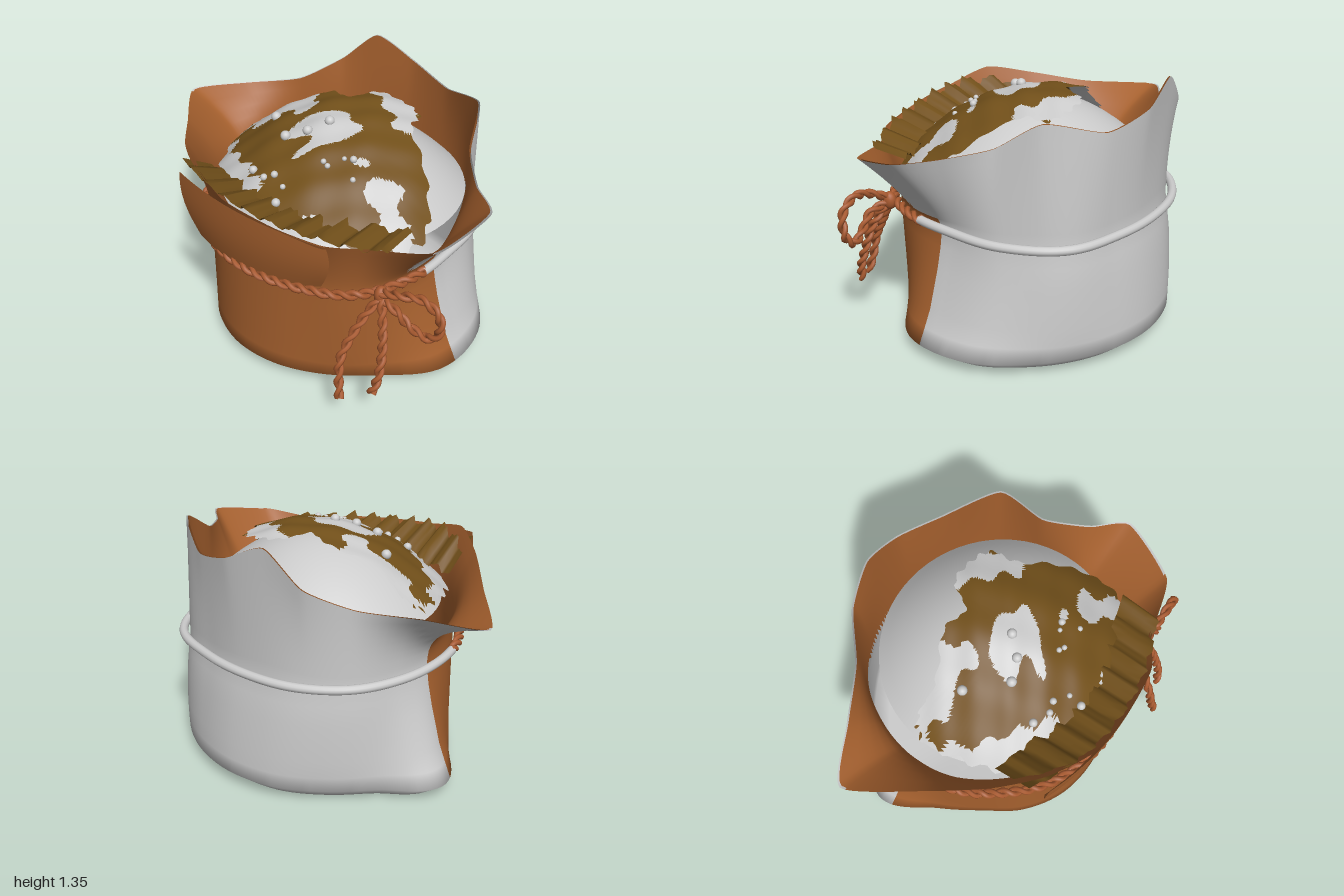
import * as THREE from 'three';
import { mergeVertices } from 'three/addons/utils/BufferGeometryUtils.js';

const GREY = 0xcccccc, CLOTH = 0xa5602e, CRUST = 0x72501a, ROPE = 0xa85a30;
const { lerp } = THREE.MathUtils;
const V = (x, y, z) => new THREE.Vector3(x, y, z);
const curve = (pts, closed = false, tension = 0.5) =>
  new THREE.CatmullRomCurve3(pts.map(p => V(...p)), closed, 'catmullrom', tension);

// Smooth surface from a rule fn(u, v) -> Vector3
function grid(nu, nv, fn) {
  const pos = [], idx = [];
  for (let j = 0; j <= nv; j++)
    for (let i = 0; i <= nu; i++) pos.push(...fn(i / nu, j / nv).toArray());
  for (let j = 0; j < nv; j++)
    for (let i = 0; i < nu; i++) {
      const a = j * (nu + 1) + i, c = a + nu + 1;
      idx.push(a, c, a + 1, a + 1, c, c + 1);
    }
  let g = new THREE.BufferGeometry();
  g.setAttribute('position', new THREE.Float32BufferAttribute(pos, 3));
  g.setIndex(idx);
  g = mergeVertices(g, 1e-5);
  g.computeVertexNormals();
  return g;
}

// Same surface, keeping only the triangles whose centre passes the test
function subset(geo, test) {
  const g = geo.clone(), p = geo.attributes.position, src = geo.index.array, out = [];
  const c = V(0, 0, 0), q = V(0, 0, 0);
  for (let i = 0; i < src.length; i += 3) {
    c.set(0, 0, 0);
    for (let k = 0; k < 3; k++) c.add(q.fromBufferAttribute(p, src[i + k]));
    c.divideScalar(3);
    if (test(c)) out.push(src[i], src[i + 1], src[i + 2]);
  }
  g.setIndex(out);
  return g;
}

function add(parent, name, geo, color, side = THREE.DoubleSide) {
  const m = new THREE.Mesh(geo, new THREE.MeshStandardMaterial({ color, side }));
  m.name = name;
  parent.add(m);
  return m;
}

// Radius by angle, from 16 evenly spaced radii going from +x round through +z
function outline(radii, offset) {
  const c = curve(radii.map((r, i) => {
    const a = i * Math.PI / 8 + offset;
    return [r * Math.cos(a), 0, r * Math.sin(a)];
  }), true);
  return a => c.getPoint(((a - offset) / (2 * Math.PI) + 2) % 1).length();
}
const base = outline([0.88, 0.74, 0.68, 0.655, 0.64, 0.62, 0.605, 0.67,
  0.835, 0.71, 0.7, 0.735, 0.77, 0.805, 0.845, 0.9], Math.PI / 16);
const waist = outline([0.71, 0.72, 0.73, 0.67, 0.637, 0.62, 0.605, 0.615,
  0.62, 0.64, 0.67, 0.675, 0.675, 0.71, 0.785, 0.76], 0);

// Two strands twisted around a path
function twisted(parent, name, path, n, turns, r) {
  const f = path.computeFrenetFrames(n);
  for (let k = 0; k < 2; k++) {
    const pts = [];
    for (let i = 0; i <= n; i++) {
      const a = (i / n) * turns * Math.PI * 2 + k * Math.PI;
      pts.push(path.getPointAt(i / n)
        .addScaledVector(f.normals[i], Math.cos(a) * r)
        .addScaledVector(f.binormals[i], Math.sin(a) * r));
    }
    add(parent, name, new THREE.TubeGeometry(new THREE.CatmullRomCurve3(pts), n * 2, r * 1.05, 7), ROPE);
  }
}

// Sack levels: height, blend from waist (0) to base (1) outline, scale
const LEVELS = [[0.005, 1, 0.001], [0.005, 1, 0.89], [0.08, 1, 1], [0.16, 0.78, 1],
  [0.25, 0.55, 1], [0.45, 0.22, 1], [0.56, 0.08, 1], [0.66, 0, 1]];
const ROWS = LEVELS.length + 7;
const RIM = curve([
  [1, 1.07, 0.1], [0.9, 1, 0.42], [0.62, 0.97, 0.54], [0.45, 0.99, 0.66], [0.2, 1.02, 0.71],
  [-0.1, 1.06, 0.71], [-0.35, 1.13, 0.62], [-0.55, 1.08, 0.45], [-0.76, 1.02, 0.2],
  [-1, 1, -0.12], [-0.75, 1.04, -0.3], [-0.5, 1.07, -0.47], [-0.32, 1.18, -0.64],
  [-0.13, 1.35, -0.69], [0.1, 1.25, -0.71], [0.35, 1.19, -0.64], [0.62, 1.27, -0.47],
  [0.7, 1.13, -0.25], [0.85, 1.08, -0.05]], true, 0.3);

function sackPoint(u, v) {
  const rim = RIM.getPoint(u % 1), a = Math.atan2(rim.z, rim.x);
  const k = Math.round(v * ROWS), last = LEVELS.length - 1;
  const [y, w, s] = LEVELS[Math.min(k, last)];
  // the back bulges a little between base and waist
  const bulge = 1 + 0.04 * Math.max(0, -Math.sin(a)) * Math.max(0, Math.sin(Math.PI * (y - 0.08) / 0.58));
  const r = lerp(waist(a), base(a), w) * s * bulge;
  const p = V(r * Math.cos(a), y, r * Math.sin(a));
  if (k <= last) return p;
  // flare to the rim, late on the left and early on the right
  const t = (k - last) / 8, e = Math.pow(t, 2 - 0.8 * Math.cos(a));
  return V(lerp(p.x, rim.x, e), lerp(p.y, rim.y, t), lerp(p.z, rim.z, e));
}

const domeY = (x, z) => 1.25 - 0.75 * (x - 0.1) ** 2 - 0.6 * (z + 0.15) ** 2;

export function createModel() {
  const model = new THREE.Group();
  model.name = 'tiedSack';

  // Sack cloth: brown front and lining, plain back
  const sack = grid(152, ROWS, sackPoint);
  const isFront = c => {
    const a = (Math.atan2(c.z, c.x) + 2 * Math.PI) % (2 * Math.PI);
    return c.y > 0.01 && a > (c.y > 0.72 ? 0.42 : 0.1) && a < 3.24;
  };
  add(model, 'sackFront', subset(sack, isFront), CLOTH);
  add(model, 'sackBack', subset(sack, c => !isFront(c)), GREY);
  const lining = subset(sack, c => c.y > 0.7).scale(0.988, 1, 0.988);
  add(model, 'sackLining', lining, CLOTH);

  // Flap folded down over the front
  add(model, 'frontFlap', grid(24, 8, (u, v) => {
    const x = lerp(-0.33, 0.4, u) + (u - 0.5) * 0.14 * Math.sin(v * 2.2);
    const top = 1.09 - 0.1 * u, bottom = 0.7 - 0.06 * Math.sin(u * Math.PI);
    return V(x, lerp(bottom, top, v), 0.66 + 0.065 * v - 0.35 * x * x + 0.015 * Math.sin(v * Math.PI));
  }), CLOTH);

  // Rounded filling under the crust
  add(model, 'filling', grid(64, 12, (u, v) => {
    const a = u * Math.PI * 2, r = 1 - v;
    return V(0.09 + 0.64 * r * Math.cos(a), 0.86 + 0.33 * (1 - r * r), -0.03 + 0.62 * r * Math.sin(a));
  }), GREY);

  // Domed crust with a ragged edge and pale patches
  const edge = curve([[0.72, 0, 0.2], [0.64, 0, 0.4], [0.4, 0, 0.5], [0, 0, 0.52], [-0.35, 0, 0.45],
    [-0.49, 0, 0.25], [-0.55, 0, 0], [-0.47, 0, -0.08], [-0.33, 0, -0.09], [-0.12, 0, -0.21],
    [0.02, 0, -0.19], [0.1, 0, -0.33], [0.25, 0, -0.35], [0.37, 0, -0.31], [0.4, 0, -0.18],
    [0.6, 0, 0]], true);
  const crust = grid(170, 34, (u, v) => {
    const p = edge.getPoint(u % 1), r = (1 - v) * (1 + 0.025 * Math.sin(u * Math.PI * 60) * (1 - v));
    const x = 0.1 + (p.x - 0.1) * r, z = 0.1 + (p.z - 0.1) * r;
    return V(x, domeY(x, z) + 0.008 * Math.sin(x * 23 + z * 9) * Math.sin(z * 19), z);
  });
  const pale = c => Math.sin(11 * c.x + 2 * Math.sin(9 * c.z)) + Math.sin(13 * c.z - 6 * c.x + 1)
    + 0.5 * Math.sin(31 * c.x + 24 * c.z) > 0.35 + c.x;
  add(model, 'crust', subset(crust, c => !pale(c)), CRUST);
  add(model, 'crustPatches', subset(crust, pale), GREY);

  // Pleated strips from the crust out to the front rim
  add(model, 'frontPleats', grid(56, 3, (u, v) => {
    const x = lerp(0.7, -0.44, u);
    const jag = 0.02 * Math.sin(u * 57) + 0.012 * Math.sin(u * 131);
    const outer = 0.7 - 0.45 * (x - 0.05) ** 2 + jag * 0.5;
    return V(x, lerp(0.96, 1.055 - 0.12 * x, v) + jag, lerp(0.44 - 0.3 * x * x, outer, v));
  }), CRUST);

  // Beads on the crust: x, z, radius
  const beads = [[-0.28, 0.04, 0.026], [-0.1, 0.2, 0.026], [0, 0.15, 0.025], [0.07, 0.06, 0.025],
    [-0.16, 0.39, 0.022], [0.07, 0.51, 0.022], [-0.02, 0.4, 0.018], [-0.07, 0.42, 0.018],
    [0.18, 0.27, 0.014], [0.21, 0.28, 0.014], [0.3, 0.19, 0.018], [0.35, 0.27, 0.014],
    [0.26, 0.21, 0.012], [0.06, 0.44, 0.014]];
  for (const [x, z, r] of beads)
    add(model, 'bead', new THREE.SphereGeometry(r, 16, 12), GREY).position.set(x, domeY(x, z) + r * 0.4, z);

  // Rope around the waist: twisted in front, plain behind
  const rope = new THREE.Group();
  rope.name = 'rope';
  model.add(rope);
  const arc = (a0, a1) => {
    const pts = [];
    for (let i = 0; i <= 40; i++) {
      const a = lerp(a0, a1, i / 40), r = waist(a) + 0.034;
      pts.push([r * Math.cos(a), 0.67, r * Math.sin(a)]);
    }
    return curve(pts);
  };
  twisted(rope, 'ropeFront', arc(0.25, Math.PI - 0.2), 130, 14, 0.0135);
  add(rope, 'ropeBack', new THREE.TubeGeometry(arc(Math.PI - 0.22, Math.PI * 2 + 0.27), 100, 0.023, 12), GREY);

  // Bow: knot, loop and two hanging tails
  const knot = add(rope, 'knot', new THREE.SphereGeometry(0.037, 16, 12), ROPE);
  knot.position.set(0.65, 0.68, 0.47);
  knot.scale.set(0.9, 1.3, 1);
  twisted(rope, 'bowLoop', curve([[0.66, 0.7, 0.48], [0.77, 0.75, 0.5], [0.88, 0.77, 0.49],
    [0.965, 0.71, 0.48], [0.97, 0.6, 0.47], [0.91, 0.54, 0.47], [0.83, 0.58, 0.49],
    [0.76, 0.645, 0.5], [0.66, 0.67, 0.48]]), 70, 6, 0.0125);
  twisted(rope, 'tail', curve([[0.65, 0.67, 0.48], [0.6, 0.55, 0.57], [0.565, 0.4, 0.67],
    [0.57, 0.28, 0.7], [0.59, 0.17, 0.725]]), 50, 4, 0.0125);
  twisted(rope, 'tail', curve([[0.66, 0.67, 0.48], [0.71, 0.55, 0.54], [0.735, 0.42, 0.58],
    [0.74, 0.3, 0.62], [0.72, 0.21, 0.64]]), 50, 4, 0.0125);

  return model;
}
